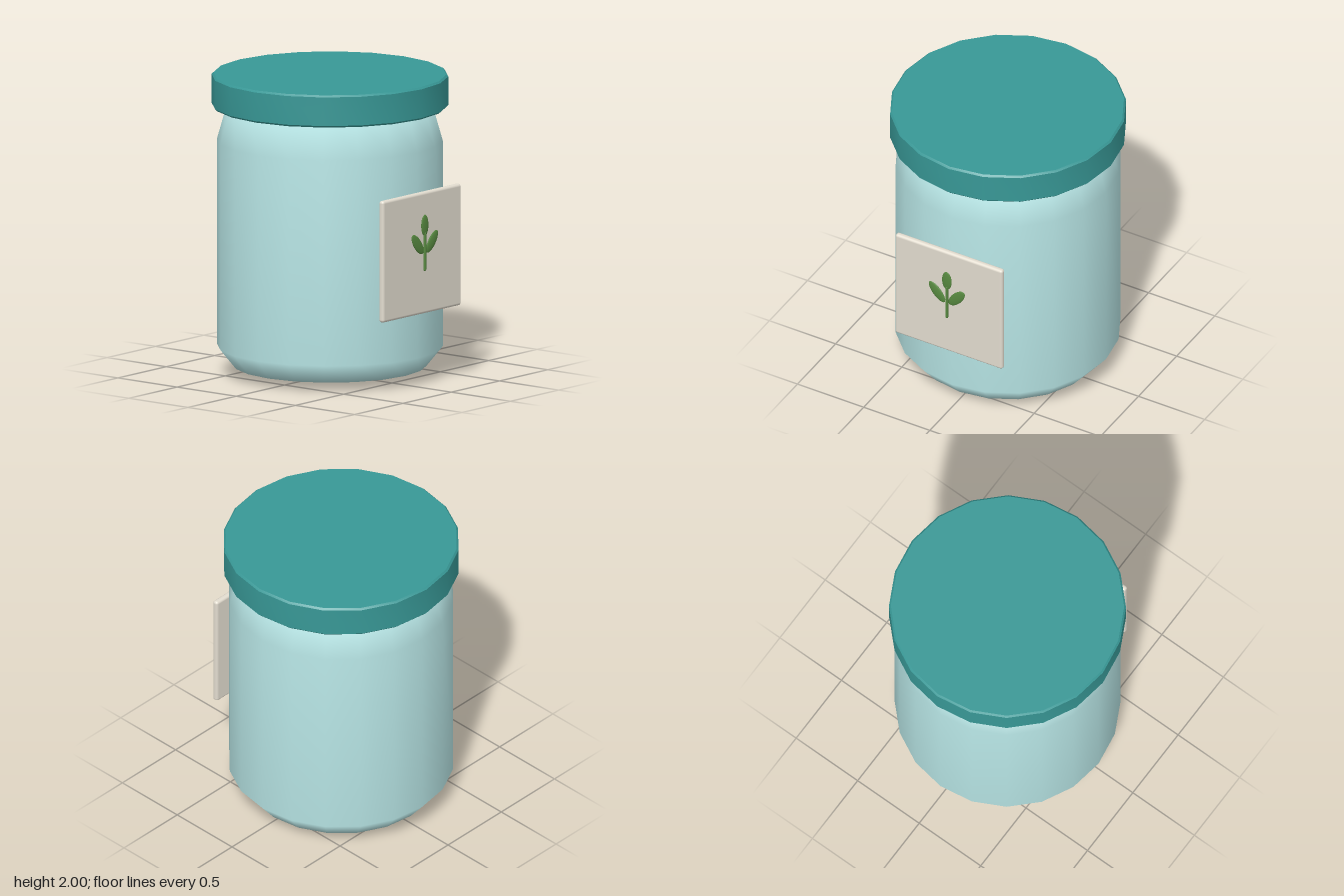
import * as THREE from 'three';
import { toCreasedNormals } from 'three/addons/utils/BufferGeometryUtils.js';
import { RoundedBoxGeometry } from 'three/addons/geometries/RoundedBoxGeometry.js';

const SIDES = 20;
const AXIS_Z = -0.025; // the jar stands slightly back from the label

const paint = (color) => new THREE.MeshStandardMaterial({ color });

function addMesh(parent, name, geometry, material, x = 0, y = 0, z = 0) {
  const mesh = new THREE.Mesh(geometry, material);
  mesh.name = name;
  mesh.position.set(x, y, z);
  parent.add(mesh);
  return mesh;
}

// Turn a profile of [radius, height] pairs around the vertical axis
const turned = (profile) =>
  new THREE.LatheGeometry(profile.map(([r, y]) => new THREE.Vector2(r, y)), SIDES);

export function createModel() {
  const model = new THREE.Group();
  model.name = 'jar';

  const glass = paint(0xb8e6e6);
  const teal = paint(0x389896);
  const cream = paint(0xe2dccf);
  const green = paint(0x56883f);

  // Body: shallow pointed base, straight wall, shoulder tapering under the lid
  const body = turned([[0, 0], [0.635, 0.06], [0.74, 0.19], [0.74, 1.56], [0.655, 1.86], [0, 1.9]]);
  addMesh(model, 'body', body, glass, 0, 0, AXIS_Z);

  // Lid: faceted disc with narrow bevels
  const lid = turned([
    [0, 1.785], [0.764, 1.785], [0.776, 1.797], [0.776, 1.988], [0.764, 2], [0, 2],
  ]);
  addMesh(model, 'lid', toCreasedNormals(lid, 0.6), teal, 0, 0, AXIS_Z);

  // Label plate on the front
  addMesh(model, 'label', new RoundedBoxGeometry(0.81, 0.81, 0.042, 3, 0.018), cream, 0, 0.895, 0.736);

  // Sprout ornament: a stem, a top leaf and a mirrored pair of side leaves
  const sprout = new THREE.Group();
  sprout.name = 'sprout';
  sprout.position.z = 0.777;
  model.add(sprout);
  addMesh(sprout, 'stem', new THREE.CapsuleGeometry(0.01, 0.24, 4, 10), green, 0, 0.91, 0);

  const leaf = new THREE.SphereGeometry(1, 20, 12);
  addMesh(sprout, 'topLeaf', leaf, green, 0, 1.085, 0).scale.set(0.036, 0.071, 0.009);
  for (const side of [1, -1]) {
    const sideLeaf = addMesh(sprout, side > 0 ? 'leftLeaf' : 'rightLeaf', leaf, green, side * 0.074, 0.967, 0);
    sideLeaf.scale.set(0.037, 0.086, 0.009);
    sideLeaf.rotation.z = -side * 0.7;
  }

  return model;
}
